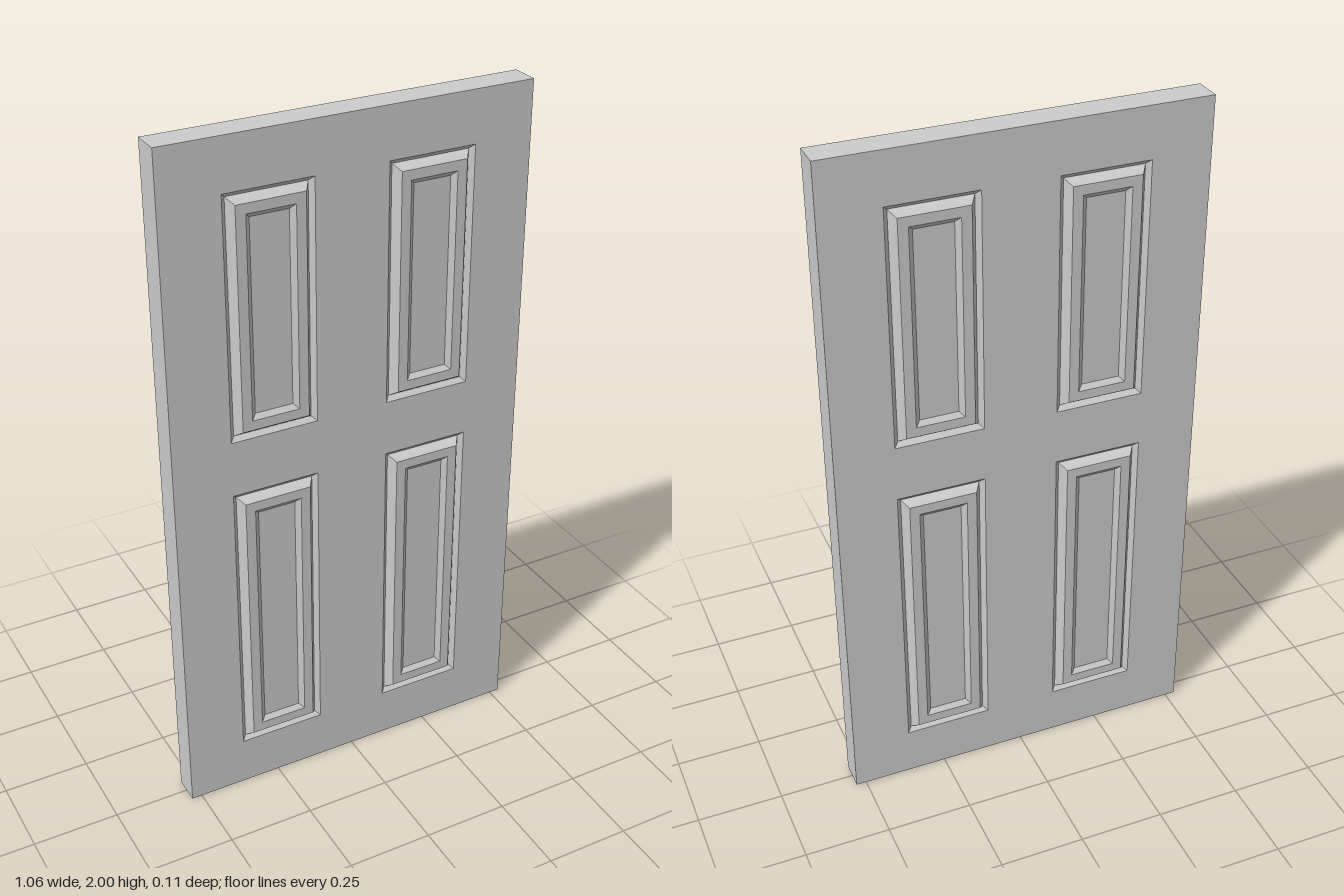
import * as THREE from 'three';

const W = 0.53, H = 1, T = 0.0415; // half width, half height, half thickness

// Panel openings: centre x, centre y, half width, half height (y measured from the door centre)
const PANELS = [];
for (const s of [-1, 1]) {
  PANELS.push({ name: 'upperPanel', x: s * 0.233, y: 0.506, w: 0.127, h: 0.347 });
  PANELS.push({ name: 'lowerPanel', x: s * 0.233, y: -0.428, w: 0.127, h: 0.424 });
}

// Moulding section: [inset from the opening, z] - groove, raised rim, sunken field
const SECTION = [[0, T], [0.013, 0.029], [0.023, 0.0435], [0.03, 0.053], [0.058, 0.053], [0.072, 0.041]];

const corners = (w, h, z) => [[-w, -h, z], [w, -h, z], [w, h, z], [-w, h, z]];

// Joins successive rectangles with flat mitred bands; optionally closes the last one
function loft(rects, cap) {
  const pos = [];
  const quad = (a, b, c, d) => pos.push(...a, ...b, ...c, ...a, ...c, ...d);
  for (let k = 0; k + 1 < rects.length; k++) {
    const a = rects[k], b = rects[k + 1];
    for (let i = 0; i < 4; i++) {
      const j = (i + 1) % 4;
      quad(a[i], a[j], b[j], b[i]);
    }
  }
  if (cap) quad(...rects[rects.length - 1]);
  const geo = new THREE.BufferGeometry();
  geo.setAttribute('position', new THREE.Float32BufferAttribute(pos, 3));
  geo.computeVertexNormals();
  return geo;
}

function rectPath(path, x, y, w, h) {
  corners(w, h, 0).forEach(([cx, cy], i) => (i ? path.lineTo(x + cx, y + cy) : path.moveTo(x + cx, y + cy)));
  path.closePath();
  return path;
}

export function createModel() {
  const material = new THREE.MeshStandardMaterial({ color: 0xcccccc, flatShading: true });
  const door = new THREE.Group();
  door.name = 'door';
  const add = (parent, geo, name) => {
    const mesh = new THREE.Mesh(geo, material);
    mesh.name = name;
    parent.add(mesh);
    return mesh;
  };

  // Narrow edges around the slab
  add(door, loft([corners(W, H, -T), corners(W, H, T)], false), 'slabEdges');

  // Flat face with four openings
  const outline = rectPath(new THREE.Shape(), 0, 0, W, H);
  for (const p of PANELS) outline.holes.push(rectPath(new THREE.Path(), p.x, p.y, p.w, p.h));
  const faceGeo = new THREE.ShapeGeometry(outline).translate(0, 0, T);

  // Same panelled face on both sides
  for (const side of ['front', 'back']) {
    const face = new THREE.Group();
    face.name = side + 'Side';
    add(face, faceGeo, side + 'Face');
    for (const p of PANELS) {
      const rects = SECTION.map(([inset, z]) => corners(p.w - inset, p.h - inset, z));
      add(face, loft(rects, true), p.name).position.set(p.x, p.y, 0);
    }
    if (side === 'back') face.rotation.y = Math.PI;
    door.add(face);
  }

  door.position.y = H;
  const model = new THREE.Group();
  model.add(door);
  return model;
}
